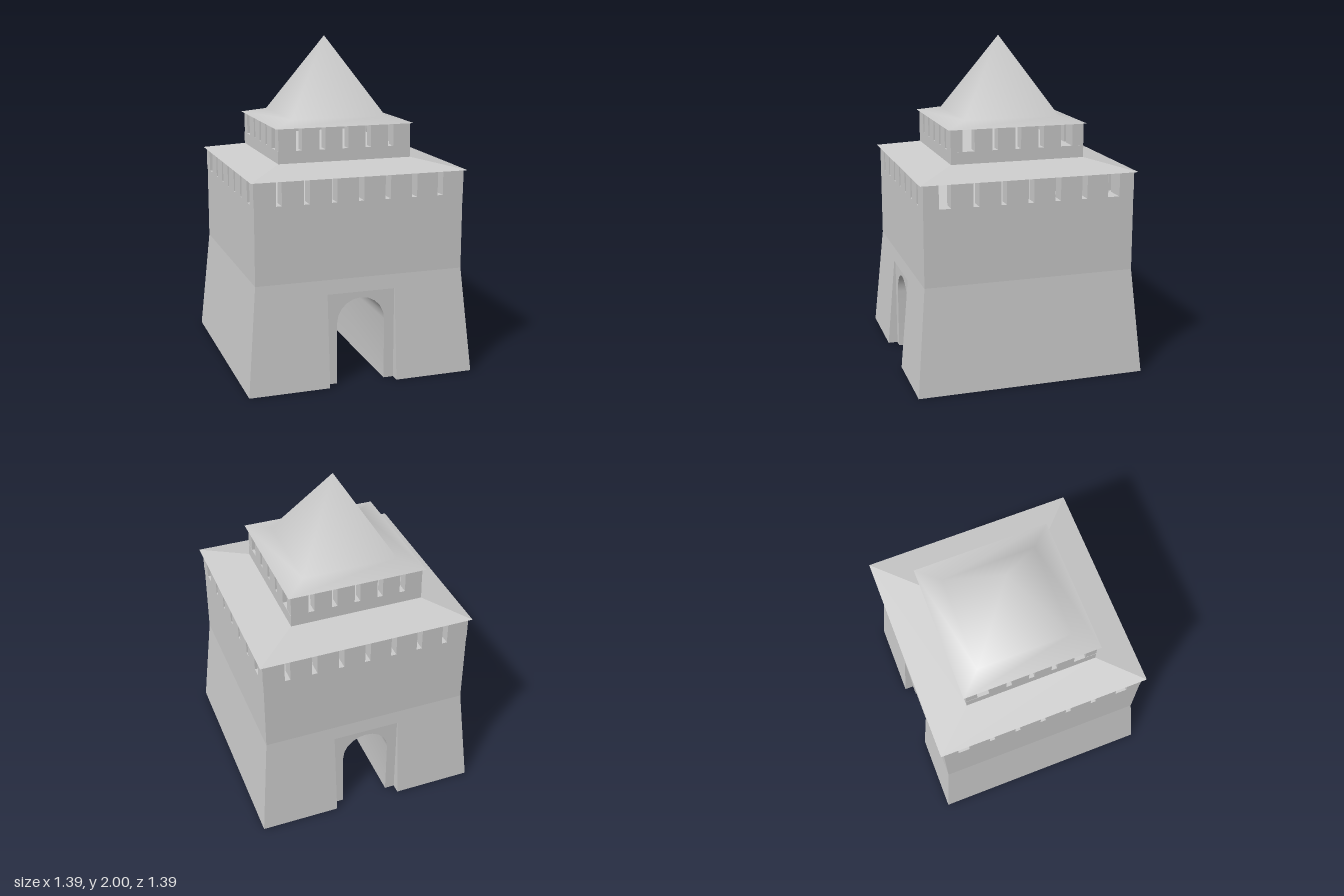
import * as THREE from 'three';
import { toCreasedNormals } from 'three/addons/utils/BufferGeometryUtils.js';

const material = new THREE.MeshStandardMaterial({ color: 0xcccccc, side: THREE.DoubleSide });

const BASE = 0.693, WALL = 0.635, KINK = 0.64;   // wall half widths and height of the batter
const TOWER_X = -0.021;                          // the upper storey sits slightly off centre
const wallHalf = (y) => BASE + (WALL - BASE) * Math.min(y / KINK, 1);

function add(parent, name, geometry) {
  const mesh = new THREE.Mesh(geometry, material);
  mesh.name = name;
  parent.add(mesh);
  return mesh;
}

// Square cross-section at height y
const square = (half, y, cx = 0) =>
  [[-1, 1], [1, 1], [1, -1], [-1, -1]].map(([x, z]) => [cx + x * half, y, z * half]);

// Skin over a list of cross-sections
function loft(rings, closed = true, crease = 0.1) {
  const n = rings[0].length, index = [];
  for (let i = 0; i < rings.length - 1; i++) {
    for (let j = 0; j < (closed ? n : n - 1); j++) {
      const k = (j + 1) % n;
      const a = i * n + j, b = i * n + k, c = a + n, d = b + n;
      index.push(a, b, d, a, d, c);
    }
  }
  const geometry = new THREE.BufferGeometry();
  geometry.setAttribute('position', new THREE.Float32BufferAttribute(rings.flat(2), 3));
  geometry.setIndex(index);
  return toCreasedNormals(geometry, crease);
}

// Row of merlons on all four sides; side rows leave out the corners
function battlements(name, { count, pitch, width, half, depth, y0, y1, cx }) {
  const group = new THREE.Group();
  group.name = name;
  const h = y1 - y0, y = (y0 + y1) / 2, offset = half - depth / 2;
  for (const s of [-1, 1]) {
    for (let i = 0; i < count; i++) {
      const t = (i - (count - 1) / 2) * pitch;
      add(group, 'merlon', new THREE.BoxGeometry(width, h, depth)).position.set(cx + t, y, s * offset);
      if (i > 0 && i < count - 1) {
        add(group, 'sideMerlon', new THREE.BoxGeometry(depth, h, width)).position.set(cx + s * offset, y, t);
      }
    }
  }
  return group;
}

// Battered wall face with a shallow recess framing the arched gateway
function gateWall(arch) {
  const group = new THREE.Group();
  const w = 0.208, top = 0.555;
  const face = new THREE.ShapeGeometry(new THREE.Shape([
    [-BASE, 0], [-w, 0], [-w, top], [w, top], [w, 0], [BASE, 0], [WALL, KINK], [-WALL, KINK],
  ].map(([x, y]) => new THREE.Vector2(x, y))));
  const p = face.attributes.position;
  for (let i = 0; i < p.count; i++) p.setZ(i, wallHalf(p.getY(i)));
  face.computeVertexNormals();
  add(group, 'batteredFace', face);

  const outline = [[-w, 0], [-w, top], [w, top], [w, 0]];
  add(group, 'recessEdge', loft([
    outline.map(([x, y]) => [x, y, WALL]),
    outline.map(([x, y]) => [x, y, wallHalf(y)]),
  ], false));

  const panel = new THREE.Shape([...outline, ...[...arch].reverse()].map(([x, y]) => new THREE.Vector2(x, y)));
  add(group, 'recessPanel', new THREE.ShapeGeometry(panel)).position.z = WALL;
  return group;
}

export function createModel() {
  const model = new THREE.Group();
  model.name = 'gateTower';

  // Arch outline: straight jambs and a semicircular head
  const r = 0.147, spring = 0.37, arch = [[-r, 0]];
  for (let i = 0; i <= 10; i++) {
    const a = Math.PI * (1 - i / 10);
    arch.push([r * Math.cos(a), spring + r * Math.sin(a)]);
  }
  arch.push([r, 0]);

  // Gate walls front and back, joined by the passage
  for (const [name, turn] of [['frontGateWall', 0], ['backGateWall', Math.PI]]) {
    const wall = gateWall(arch);
    wall.name = name;
    wall.rotation.y = turn;
    model.add(wall);
  }
  add(model, 'passage', loft([-WALL, WALL].map((z) => arch.map(([x, y]) => [x, y, z])), false, 0.7));

  // Plain battered side walls
  for (const s of [-1, 1]) {
    add(model, s > 0 ? 'leftWall' : 'rightWall', loft([[0, BASE], [KINK, WALL]].map(
      ([y, h]) => [[s * h, y, s * h], [s * h, y, -s * h]]), false));
  }

  // Vertical upper wall, closed by the wall walk
  add(model, 'upperWall', loft([square(WALL, KINK), square(WALL, 1.095), square(0, 1.095)]));
  model.add(battlements('lowerBattlements', {
    count: 8, pitch: 0.1636, width: 0.13, half: WALL, depth: 0.09, y0: 1.095, y1: 1.24, cx: 0,
  }));
  add(model, 'lowerRoof', loft([
    square(0, 1.238), square(0.655, 1.238), square(0.41, 1.292, TOWER_X),
  ]));

  // Upper storey
  add(model, 'upperStorey', loft([
    square(0.41, 1.28, TOWER_X), square(0.41, 1.365, TOWER_X), square(0, 1.365, TOWER_X),
  ]));
  model.add(battlements('upperBattlements', {
    count: 6, pitch: 0.142, width: 0.107, half: 0.41, depth: 0.07, y0: 1.365, y1: 1.497, cx: TOWER_X,
  }));

  // Softly shaded spire with flared eaves
  add(model, 'spire', loft([
    square(0.426, 1.497, TOWER_X), square(0.294, 1.53, TOWER_X), square(0, 2, TOWER_X),
  ], true, 2.5));
  add(model, 'spireSoffit', loft([square(0, 1.497, TOWER_X), square(0.426, 1.497, TOWER_X)]));

  return model;
}
